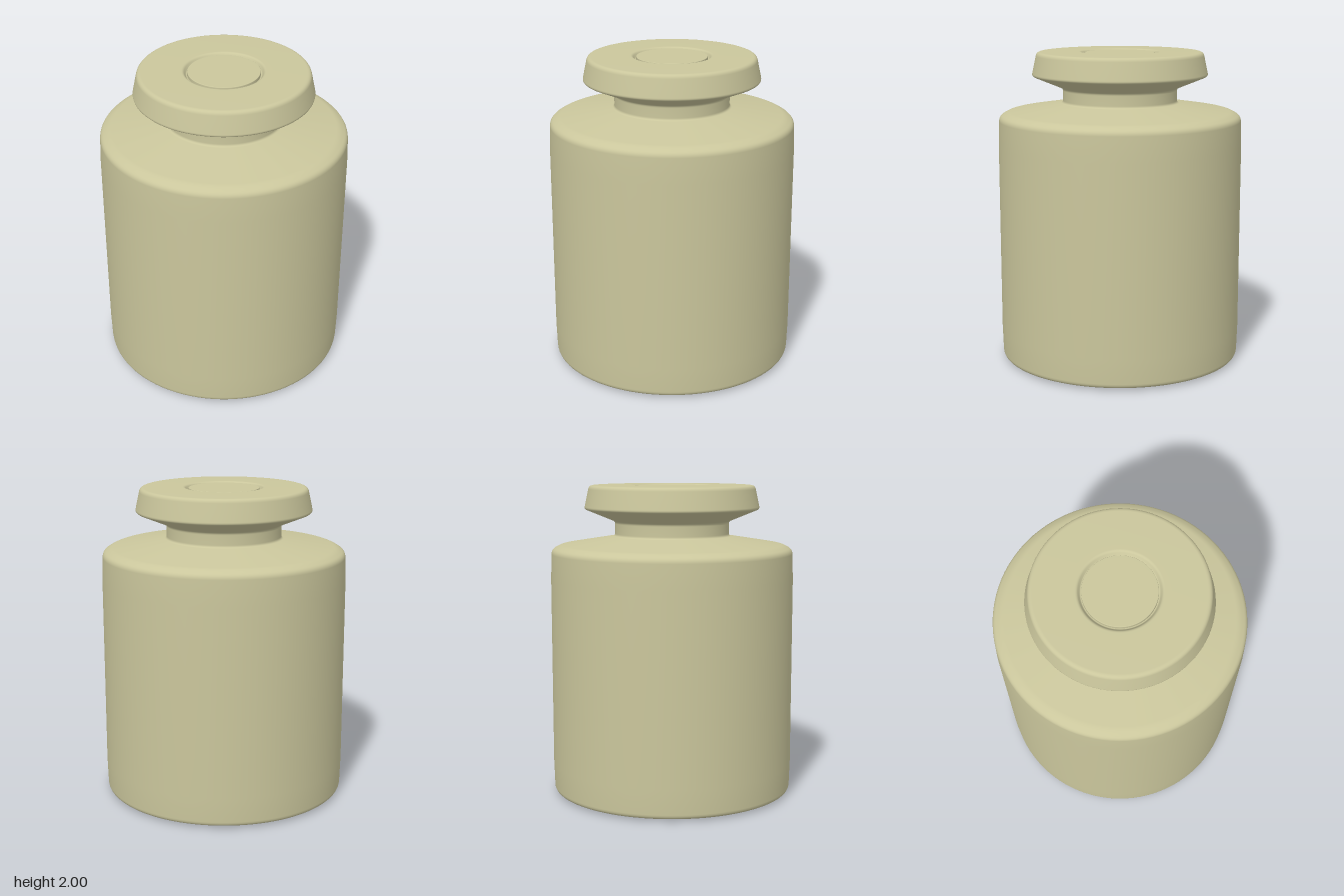
import * as THREE from 'three';

const SEGMENTS = 96;

// Builds a turned part from a [radius, height] profile; a third number rounds that corner.
function turned(name, profile, material) {
  const pts = [];
  profile.forEach(([r, y, fillet], i) => {
    const p = new THREE.Vector2(r, y);
    if (!fillet) { pts.push(p); return; }
    const toward = ([nr, ny]) => new THREE.Vector2(nr, ny).sub(p).setLength(fillet).add(p);
    const curve = new THREE.QuadraticBezierCurve(toward(profile[i - 1]), p, toward(profile[i + 1]));
    pts.push(...curve.getPoints(5));
  });
  const mesh = new THREE.Mesh(new THREE.LatheGeometry(pts, SEGMENTS), material);
  mesh.name = name;
  return mesh;
}

export function createModel() {
  const group = new THREE.Group();
  group.name = 'calibrationWeight';
  const metal = new THREE.MeshStandardMaterial({ color: 0xcac69c });

  // Cylindrical body with a shallow base, rounded shoulder and narrow neck
  group.add(turned('body', [
    [0, 0], [0.25, 0.003], [0.7, 0.01], [0.777, 0.012, 0.03], [0.783, 0.2],
    [0.783, 1.4], [0.777, 1.588, 0.025], [0.725, 1.617, 0.02],
    [0.367, 1.675, 0.015], [0.367, 1.72],
  ], metal));

  // Flared gripping knob, with a ring groove cut into its top
  group.add(turned('knob', [
    [0.367, 1.72], [0.367, 1.767, 0.015], [0.565, 1.848, 0.015],
    [0.533, 1.998, 0.025], [0.3, 2], [0.25, 2, 0.012], [0.232, 1.972, 0.006], [0.225, 1.972],
  ], metal));

  // Sealing plug in the middle of the knob
  group.add(turned('plug', [
    [0.225, 1.97], [0.225, 1.995, 0.004], [0.2, 1.995], [0, 1.995],
  ], metal));

  return group;
}
